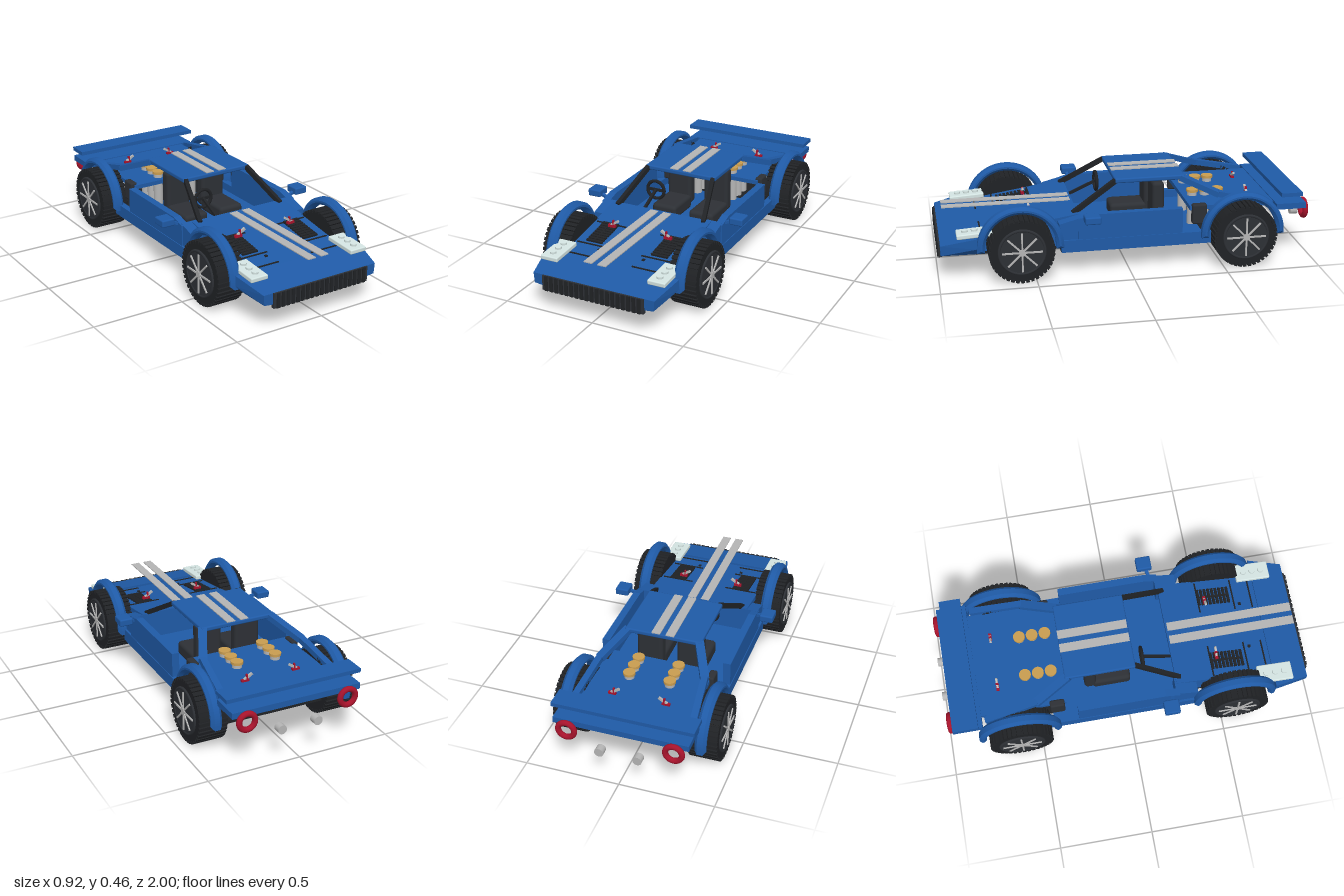
import * as THREE from 'three';
import { RoundedBoxGeometry } from 'three/addons/geometries/RoundedBoxGeometry.js';
import { ConvexGeometry } from 'three/addons/geometries/ConvexGeometry.js';

const mat = (color) => new THREE.MeshStandardMaterial({ color });
const BLUE = mat(0x1f5aa6), BLACK = mat(0x202225), DARK = mat(0x2d3035), SILVER = mat(0xb4b4b4);
const WHITE = mat(0xd4e4e2), RED = mat(0xa8132c), GOLD = mat(0xc89c50);
const V = (x, y, z) => new THREE.Vector3(x, y, z);

export function createModel() {
  const car = new THREE.Group();
  car.name = 'sportsCar';

  const add = (name, geo, material, x = 0, y = 0, z = 0, parent = car) => {
    const m = new THREE.Mesh(geo, material);
    m.name = name;
    m.position.set(x, y, z);
    parent.add(m);
    return m;
  };
  // box given by its limits on each axis
  const box = (name, material, x0, x1, y0, y1, z0, z1, r = 0) => {
    const w = Math.abs(x1 - x0), h = y1 - y0, d = z1 - z0;
    const geo = r ? new RoundedBoxGeometry(w, h, d, 3, r) : new THREE.BoxGeometry(w, h, d);
    return add(name, geo, material, (x0 + x1) / 2, (y0 + y1) / 2, (z0 + z1) / 2);
  };
  // straight bar from a to b
  const beam = (name, material, a, b, w, h) => {
    const m = add(name, new THREE.BoxGeometry(w, h, a.distanceTo(b)), material);
    m.position.copy(a).lerp(b, 0.5);
    m.lookAt(b);
    return m;
  };
  // side profile of [z, y] points, extruded across x
  const profile = (name, material, pts, x0, x1) => {
    const shape = new THREE.Shape(pts.map(([z, y]) => new THREE.Vector2(z, y)));
    const geo = new THREE.ExtrudeGeometry(shape, { depth: Math.abs(x1 - x0), bevelEnabled: false });
    geo.rotateY(-Math.PI / 2);
    return add(name, geo, material, Math.max(x0, x1));
  };
  const hoodY = (z) => 0.305 - (z - 0.27) * 0.153;
  const hoodTilt = Math.atan(0.153);

  // Underbody and cabin floor
  box('underbody', BLACK, -0.33, 0.33, 0.115, 0.13, -0.42, 0.36);
  box('frontUnderbody', BLACK, -0.28, 0.28, 0.115, 0.13, 0.36, 0.8);
  box('rearUnderbody', BLACK, -0.28, 0.28, 0.115, 0.13, -0.73, -0.42);
  box('cabinFloor', BLUE, -0.33, 0.33, 0.13, 0.145, -0.42, 0.36);
  box('firewall', BLUE, -0.3, 0.3, 0.14, 0.285, 0.28, 0.3);

  // Hood, nose and grille
  profile('hood', BLUE, [[0.26, 0.28], [0.985, 0.165], [0.985, hoodY(0.985)], [0.26, hoodY(0.26)]], -0.29, 0.29);
  const nose = [];
  for (const s of [-1, 1]) {
    nose.push(V(s * 0.34, 0.195, 0.985), V(s * 0.335, 0.14, 0.985), V(s * 0.29, 0.135, 0.985),
      V(s * 0.378, 0.235, 0.8), V(s * 0.378, 0.18, 0.8), V(s * 0.34, 0.14, 0.8));
  }
  add('nose', new ConvexGeometry(nose), BLUE);
  box('grille', DARK, -0.285, 0.285, 0.115, 0.195, 0.975, 0.994);
  for (let i = 0; i < 19; i++) {
    const x = -0.261 + i * 0.029;
    box('grilleSlat', BLACK, x - 0.009, x + 0.009, 0.115, 0.195, 0.99, 1);
  }

  // Roof and stripes
  box('roof', BLUE, -0.21, 0.21, 0.432, 0.458, -0.33, 0.05, 0.008);
  for (const s of [-1, 1]) {
    box('roofStripe', SILVER, s * 0.015, s * 0.062, 0.458, 0.463, -0.33, 0.045);
    box('hoodStripe', SILVER, s * 0.015, s * 0.062, 0.302, 0.307, 0.27, 0.96);
  }

  // Rear deck and spoiler
  box('rearDeck', BLUE, -0.29, 0.29, 0.285, 0.308, -0.84, -0.34);
  box('tailDeck', BLUE, -0.355, 0.355, 0.28, 0.312, -0.962, -0.8);
  box('spoiler', BLUE, -0.373, 0.373, 0.355, 0.376, -0.935, -0.82);

  // Wheel parts shared by all four wheels
  const tyreGeo = new THREE.CylinderGeometry(0.162, 0.162, 0.15, 40).rotateZ(Math.PI / 2);
  const treadGeo = new THREE.BoxGeometry(0.155, 0.016, 0.017);
  const rimGeo = new THREE.CylinderGeometry(0.118, 0.118, 0.012, 40).rotateZ(Math.PI / 2);
  const rimRingGeo = new THREE.TorusGeometry(0.118, 0.008, 8, 40).rotateY(Math.PI / 2);
  const spokeGeo = new THREE.BoxGeometry(0.008, 0.1, 0.009);
  const hubGeo = new THREE.CylinderGeometry(0.018, 0.018, 0.016, 16).rotateZ(Math.PI / 2);
  const addWheel = (s, z) => {
    const wheel = new THREE.Group();
    wheel.name = 'wheel';
    wheel.position.set(s * 0.362, 0.172, z);
    car.add(wheel);
    add('tyre', tyreGeo, BLACK, 0, 0, 0, wheel);
    for (let i = 0; i < 40; i++) {
      const a = (i / 40) * Math.PI * 2;
      const t = add('tread', treadGeo, BLACK, 0, Math.cos(a) * 0.163, Math.sin(a) * 0.163, wheel);
      t.rotation.x = a;
    }
    add('rim', rimGeo, DARK, s * 0.076, 0, 0, wheel);
    add('rimRing', rimRingGeo, DARK, s * 0.077, 0, 0, wheel);
    for (let i = 0; i < 8; i++) {
      const a = (i / 8) * Math.PI * 2;
      const p = add('spoke', spokeGeo, SILVER, s * 0.084, Math.cos(a) * 0.055, Math.sin(a) * 0.055, wheel);
      p.rotation.x = a;
    }
    add('hub', hubGeo, SILVER, s * 0.082, 0, 0, wheel);
  };

  // Bevelled half-ring wheel arch
  const arch = new THREE.Shape();
  arch.absarc(0, 0, 0.21, 0, Math.PI, false);
  arch.absarc(0, 0, 0.2, Math.PI, 0, true);
  const archGeo = new THREE.ExtrudeGeometry(arch, {
    depth: 0.03, bevelSize: 0.015, bevelThickness: 0.015, bevelSegments: 1, curveSegments: 28,
  });
  archGeo.translate(0, 0, -0.015).rotateY(-Math.PI / 2);

  // Small latch made of a red bracket and a silver pin
  const addLatch = (s, x, y, z) => {
    box('latchBracket', RED, s * (x - 0.012), s * (x + 0.03), y, y + 0.014, z - 0.008, z + 0.008);
    box('latchPost', RED, s * (x - 0.004), s * (x + 0.004), y, y + 0.04, z - 0.006, z + 0.006);
    beam('latchPin', SILVER, V(s * (x + 0.015), y + 0.012, z), V(s * (x - 0.03), y + 0.04, z), 0.012, 0.012);
  };

  for (const s of [-1, 1]) {
    for (const z of [0.575, -0.61]) {
      addWheel(s, z);
      add('wheelArch', archGeo, BLUE, s * 0.366, 0.172, z);
    }

    // Body sides
    box('sill', BLUE, s * 0.325, s * 0.362, 0.122, 0.188, -0.44, 0.36);
    profile('door', BLUE, [[-0.285, 0.188], [0.27, 0.188], [0.27, 0.3], [0.19, 0.322], [-0.285, 0.322]], s * 0.318, s * 0.358);
    profile('cowlSide', BLUE, [[0.25, 0.188], [0.37, 0.188], [0.37, 0.275], [0.25, hoodY(0.26)]], s * 0.25, s * 0.35);
    profile('innerWing', BLUE, [[0.35, 0.12], [0.82, 0.13], [0.82, 0.21], [0.35, 0.28]], s * 0.268, s * 0.28);
    box('sideIntake', DARK, s * 0.27, s * 0.31, 0.21, 0.32, -0.43, -0.35, 0.01);

    // Pillars
    beam('windshieldPillar', BLACK, V(s * 0.195, 0.445, 0.045), V(s * 0.255, 0.3, 0.285), 0.022, 0.026);
    beam('rearPillar', BLUE, V(s * 0.195, 0.443, -0.31), V(s * 0.285, 0.365, -0.5), 0.045, 0.03);
    beam('rearButtress', BLUE, V(s * 0.283, 0.37, -0.49), V(s * 0.315, 0.305, -0.78), 0.035, 0.03);

    // Mirrors
    box('mirror', BLUE, s * 0.385, s * 0.46, 0.302, 0.342, 0.167, 0.25, 0.008);
    beam('mirrorArm', BLUE, V(s * 0.34, 0.295, 0.23), V(s * 0.4, 0.315, 0.215), 0.018, 0.014);

    // Headlights
    const lamp = box('headlight', WHITE, s * 0.254, s * 0.352, 0.232, 0.257, 0.71, 0.9, 0.006);
    for (const z of [-0.05, 0, 0.05]) {
      add('headlightBulb', new THREE.CylinderGeometry(0.017, 0.017, 0.012, 20), WHITE, 0, 0.017, z, lamp);
    }
    lamp.rotation.x = 0.06;

    // Hood vents, panel lines and latches
    for (let i = 0; i < 9; i++) {
      const z = 0.475 + i * 0.021;
      const slat = add('hoodVentSlat', new THREE.BoxGeometry(0.092, 0.012, 0.014), BLACK, s * 0.188, hoodY(z) + 0.004, z);
      slat.rotation.x = hoodTilt;
    }
    box('hoodVentBar', BLACK, s * 0.184, s * 0.192, 0.255, 0.272, 0.475, 0.645).rotation.x = hoodTilt;
    for (const z of [0.47, 0.67, 0.77]) {
      box('hoodLine', BLACK, s * 0.1, s * 0.275, hoodY(z) - 0.004, hoodY(z) + 0.004, z - 0.004, z + 0.004);
    }
    box('hoodPin', BLACK, s * 0.12, s * 0.135, hoodY(0.7) - 0.004, hoodY(0.7) + 0.005, 0.692, 0.708);
    addLatch(s, 0.155, 0.28, 0.505);
    addLatch(s, 0.135, 0.305, -0.69);

    // Seats
    box('seatBack', DARK, s * 0.04, s * 0.185, 0.17, 0.415, -0.225, -0.16, 0.02);
    box('seatCushion', DARK, s * 0.04, s * 0.185, 0.145, 0.225, -0.18, 0.03, 0.02);

    // Intake trumpets over the engine
    for (const z of [-0.395, -0.465, -0.535]) {
      add('intakeTrumpet', new THREE.CylinderGeometry(0.026, 0.026, 0.185, 24), SILVER, s * 0.11, 0.2375, z);
      add('intakeCap', new THREE.CylinderGeometry(0.032, 0.032, 0.014, 24), GOLD, s * 0.11, 0.336, z);
    }

    // Tail lights and exhausts
    add('tailLight', new THREE.TorusGeometry(0.043, 0.015, 12, 36), RED, s * 0.28, 0.257, -0.972);
    add('exhaust', new THREE.CylinderGeometry(0.024, 0.024, 0.04, 24).rotateX(Math.PI / 2), SILVER, s * 0.1, 0.18, -0.98);
  }

  // Steering wheel and column
  const steering = new THREE.Group();
  steering.name = 'steeringWheel';
  steering.position.set(-0.12, 0.345, 0.1);
  car.add(steering);
  add('steeringRim', new THREE.TorusGeometry(0.05, 0.009, 10, 36), BLACK, 0, 0, 0, steering);
  add('steeringBar', new THREE.BoxGeometry(0.1, 0.014, 0.01), BLACK, 0, 0, 0, steering);
  beam('steeringColumn', BLACK, V(-0.12, 0.345, 0.1), V(-0.12, 0.26, 0.29), 0.014, 0.014);

  return car;
}
